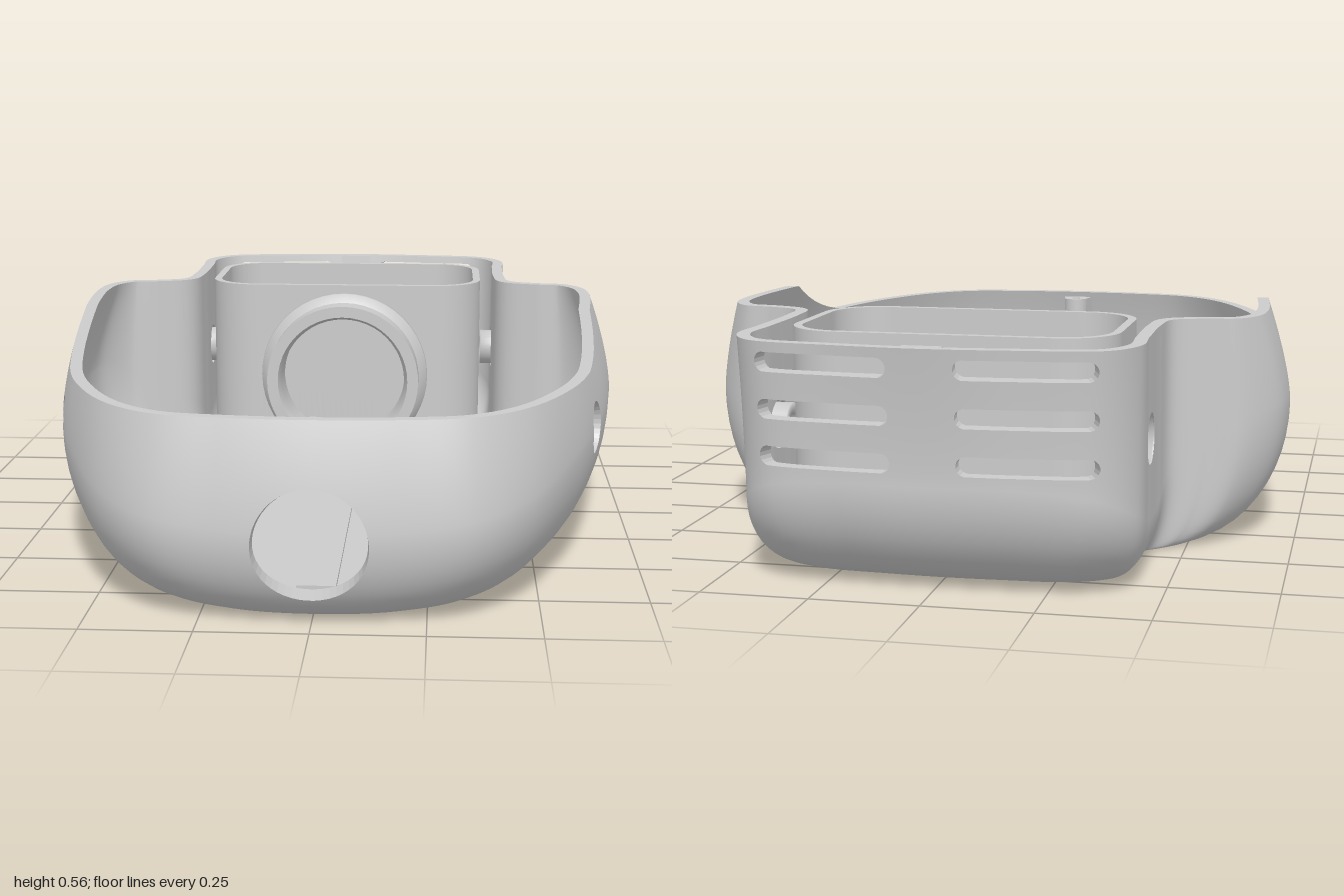
import * as THREE from 'three';

const mat = new THREE.MeshStandardMaterial({ color: 0xcccccc });
const matDouble = new THREE.MeshStandardMaterial({ color: 0xcccccc, side: THREE.DoubleSide });

function add(group, name, geo, material = mat) {
  const mesh = new THREE.Mesh(geo, material);
  mesh.name = name;
  group.add(mesh);
  return mesh;
}

// Convex round or stadium-shaped hole along an axis, as outward planes [nx, ny, nz, d].
// Only the region where sign * axis > min is cut.
function hole(axis, sign, min, p, q, r, halfLength = 0, n = 32) {
  const [ax, ip, iq] = { x: [0, 2, 1], y: [1, 0, 2], z: [2, 0, 1] }[axis];
  const planes = [];
  for (let k = 0; k < n; k++) {
    const c = Math.cos(k / n * Math.PI * 2), s = Math.sin(k / n * Math.PI * 2);
    const plane = [0, 0, 0, p * c + q * s + r + halfLength * Math.abs(c)];
    plane[ip] = c;
    plane[iq] = s;
    planes.push(plane);
  }
  const end = [0, 0, 0, -min];
  end[ax] = -sign;
  planes.push(end);
  return planes;
}

const dist = (v, p) => v[0] * p[0] + v[1] * p[1] + v[2] * p[2] - p[3];

function split(poly, plane) {
  const inside = [], outside = [];
  poly.forEach((a, i) => {
    const b = poly[(i + 1) % poly.length];
    const da = dist(a, plane), db = dist(b, plane);
    if (da <= 0) inside.push(a);
    if (da >= 0) outside.push(a);
    if (da * db < 0) {
      const m = a.map((x, j) => x + (b[j] - x) * da / (da - db));
      inside.push(m);
      outside.push(m);
    }
  });
  return [inside, outside];
}

// Closed wall of even thickness over surface(t, k), with holes cut through it and a flat rim.
// A vertex is [outer xyz, normal xyz, inner xyz].
function shellGeometry(surface, cols, ks, thickness, holes) {
  const pos = [], nor = [];
  const tri = (pts, normals) => pts.forEach((p, i) => { pos.push(...p); nor.push(...normals[i]); });
  const O = v => v.slice(0, 3), N = v => v.slice(3, 6), I = v => v.slice(6, 9), neg = a => a.map(x => -x);
  const kMax = ks[ks.length - 1], e = 1e-3;
  const vertex = (t, k) => {
    const o = surface(t, k);
    const kc = Math.min(Math.max(k, ks[0] + 2 * e), kMax - 2 * e);
    const du = surface((t + e) % 1, kc).sub(surface((t - e + 1) % 1, kc));
    const dk = surface(t, kc + e).sub(surface(t, kc - e));
    const n = du.cross(dk).normalize();
    const inner = o.clone().addScaledVector(n, -thickness);
    if (k === kMax) inner.y = o.y;
    return [...o.toArray(), ...n.toArray(), ...inner.toArray()];
  };
  const emit = poly => {
    for (let i = 1; i + 1 < poly.length; i++) {
      const [a, b, c] = [poly[0], poly[i], poly[i + 1]];
      tri([O(a), O(b), O(c)], [N(a), N(b), N(c)]);
      tri([I(a), I(c), I(b)], [neg(N(a)), neg(N(c)), neg(N(b))]);
    }
  };
  const quad = (a, b, c, d, n) => { tri([a, b, c], [n, n, n]); tri([a, c, d], [n, n, n]); };
  const cut = (poly, planes) => {
    let rest = poly;
    const pieces = [];
    for (const plane of planes) {
      const [inside, outside] = split(rest, plane);
      if (inside.length < 3) return [poly];
      if (outside.length > 2) pieces.push(outside);
      rest = inside;
    }
    rest.forEach((a, i) => {
      const b = rest[(i + 1) % rest.length];
      const p = planes.find(q => Math.abs(dist(a, q)) < 1e-7 && Math.abs(dist(b, q)) < 1e-7);
      if (p) quad(O(a), O(b), I(b), I(a), neg(p.slice(0, 3)));
    });
    return pieces;
  };
  const grid = ks.map(k => Array.from({ length: cols }, (_, i) => vertex(i / cols, k)));
  for (let j = 0; j + 1 < ks.length; j++) {
    for (let i = 0; i < cols; i++) {
      const i2 = (i + 1) % cols;
      const a = grid[j][i], b = grid[j][i2], c = grid[j + 1][i2], d = grid[j + 1][i];
      let polys = [[a, b, c], [a, c, d]];
      for (const h of holes) polys = polys.flatMap(p => cut(p, h));
      polys.forEach(emit);
      if (j + 2 === ks.length) quad(O(d), O(c), I(c), I(d), [0, 1, 0]);
    }
  }
  const geo = new THREE.BufferGeometry();
  geo.setAttribute('position', new THREE.Float32BufferAttribute(pos, 3));
  geo.setAttribute('normal', new THREE.Float32BufferAttribute(nor, 3));
  return geo;
}

// Half outline from front to back: widest x, z, its height, floor x, z, rim x, z.
const OUTLINE = [
  [0, 1, .2, 0, .85, 0, .91], [.2, .985, .2, .14, .83, .19, .9],
  [.36, .95, .22, .25, .76, .335, .865], [.48, .84, .25, .33, .65, .45, .765],
  [.6, .58, .3, .41, .42, .56, .55], [.67, .3, .32, .46, .22, .62, .28],
  [.71, .02, .32, .49, 0, .655, .02], [.725, -.2, .32, .5, -.18, .67, -.22],
  [.705, -.29, .32, .495, -.29, .655, -.32], [.63, -.375, .3, .47, -.37, .61, -.38],
  [.54, -.395, .26, .44, -.42, .54, -.395], [.465, -.43, .2, .4, -.46, .465, -.43],
  [.45, -.53, .14, .375, -.54, .45, -.53], [.45, -.7, .14, .37, -.62, .45, -.72],
  [.445, -.84, .18, .34, -.69, .45, -.86], [.37, -.93, .23, .25, -.73, .39, -.95],
  [.2, -.96, .25, .12, -.74, .2, -.985], [0, -.965, .25, 0, -.745, 0, -1],
];
const TOP = .555;

function ring(pick) {
  const half = OUTLINE.map(pick);
  const mirrored = half.slice(1, -1).reverse().map(([x, y, z]) => [-x, y, z]);
  return new THREE.CatmullRomCurve3([...half, ...mirrored].map(p => new THREE.Vector3(...p)), true);
}

// k runs 0-1 across the floor, 1-2 up the rounded base, 2-3 up to the rim.
function hullSurface() {
  const mid = ring(r => [r[0], r[2], r[1]]);
  const base = ring(r => [r[3], 0, r[4]]);
  const rim = ring(r => [r[5], TOP, r[6]]);
  return (t, k) => {
    const b = base.getPoint(t);
    if (k <= 1) return new THREE.Vector3(0, 0, -.1).lerp(b, k);
    const m = mid.getPoint(t);
    if (k <= 2) {
      const a = (k - 1) * Math.PI / 2;
      return new THREE.Vector3().lerpVectors(b, m, Math.sin(a)).setY(m.y * (1 - Math.cos(a)));
    }
    const r = rim.getPoint(t);
    const rise = THREE.MathUtils.clamp((.38 - r.z) / .32, 0, 1);
    const y = m.y + (.455 + .1 * rise ** 1.6 - m.y) * (k - 2);
    return m.clone().lerp(r, ((y - m.y) / (TOP - m.y)) ** 1.5).setY(y);
  };
}

function roundedRect(w, h, r) {
  const s = new THREE.Shape();
  s.moveTo(0, -h);
  s.lineTo(w - r, -h);
  s.absarc(w - r, r - h, r, -Math.PI / 2, 0);
  s.absarc(w - r, h - r, r, 0, Math.PI / 2);
  s.absarc(r - w, h - r, r, Math.PI / 2, Math.PI);
  s.absarc(r - w, r - h, r, Math.PI, Math.PI * 1.5);
  s.closePath();
  return s;
}

// Side profile in (z, y) extruded across x.
function crossBar(points, width) {
  const shape = new THREE.Shape(points.map(([z, y]) => new THREE.Vector2(-z, y)));
  return new THREE.ExtrudeGeometry(shape, { depth: width, bevelEnabled: false })
    .translate(0, 0, -width / 2).rotateY(Math.PI / 2);
}

export function createModel() {
  const model = new THREE.Group();

  // Hull with front opening, side holes, floor screw holes and rear vents
  const holes = [hole('z', 1, .5, 0, .187, .127, 0, 48)];
  for (const z of [.72, .02, -.68]) holes.push(hole('y', -1, -.1, .012, z, .013, 0, 12));
  for (const side of [-1, 1]) {
    holes.push(hole('x', side, .3, .385, .32, .063), hole('x', side, .3, -.68, .32, .058));
    for (const y of [.3, .405, .51]) holes.push(hole('z', -1, .8, side * .225, y, .022, .13, 16));
  }
  const ks = [0, .25, .5, .75];
  for (let i = 0; i <= 24; i++) ks.push(1 + i / 12);
  add(model, 'hull', shellGeometry(hullSurface(), 204, ks, .03, holes));

  // Inner box with round duct opening
  const rect = roundedRect(.38, .235, .13), boxZ = -.555;
  const wall = (t, k) => {
    const p = rect.getPointAt(t);
    return new THREE.Vector3(p.x, .025 + (TOP - .025) * k, boxZ - p.y);
  };
  add(model, 'innerBox', shellGeometry(wall, 120, [0, .25, .5, .75, 1], .02,
    [hole('z', 1, -.5, 0, .3, .17, 0, 48)]));
  add(model, 'innerBoxFloor', new THREE.ExtrudeGeometry(roundedRect(.37, .225, .12),
    { depth: .03, bevelEnabled: false, curveSegments: 12 }).rotateX(-Math.PI / 2).translate(0, .03, boxZ));

  // Duct collar on the front of the box
  const collar = [[.17, -.01], [.235, -.01], [.232, .012], [.21, .03], [.21, .03], [.21, .1], [.21, .1],
    [.18, .1], [.18, .1], [.17, .07], [.17, -.01]].map(p => new THREE.Vector2(...p));
  add(model, 'ductCollar', new THREE.LatheGeometry(collar, 48).rotateX(Math.PI / 2).translate(0, .3, -.32), matDouble);

  // Countersunk screw seats in the narrow rear sides
  for (const side of [-1, 1]) {
    const cup = [[.06, 0], [.057, -.005], [.03, -.035], [.025, -.035], [.025, -.062], [.05, -.062], [.05, -.02]]
      .map(p => new THREE.Vector2(...p));
    const seat = add(model, 'screwSeat', new THREE.LatheGeometry(cup, 28).rotateZ(-Math.PI / 2), matDouble);
    seat.rotation.y = side > 0 ? 0 : Math.PI;
    seat.position.set(side * .45, .32, -.68);
  }

  // Centre strip along the floor and up the rear wall
  add(model, 'floorStrip', new THREE.BoxGeometry(.09, .014, 1.03).translate(0, .032, .275));
  add(model, 'rearStrip', crossBar([[-.76, .025], [-.84, .07], [-.9, .14], [-.94, .25], [-.955, .4],
    [-.975, TOP], [-.955, TOP], [-.935, .4], [-.915, .25], [-.875, .15], [-.81, .08], [-.76, .045]], .09));

  // Screw boss behind the front rim, with a gusset below
  const tab = new THREE.Shape();
  tab.moveTo(-.045, -.935);
  tab.lineTo(.045, -.935);
  tab.lineTo(.035, -.88);
  tab.absarc(0, -.88, .035, 0, Math.PI);
  tab.closePath();
  tab.holes.push(new THREE.Path().absarc(0, -.88, .013, 0, Math.PI * 2, true));
  add(model, 'frontBoss', new THREE.ExtrudeGeometry(tab, { depth: .06, bevelEnabled: false })
    .rotateX(-Math.PI / 2).translate(0, .38, 0));
  add(model, 'frontBossGusset', crossBar([[.87, .385], [.935, .385], [.955, .325], [.93, .325]], .05));

  return model;
}
